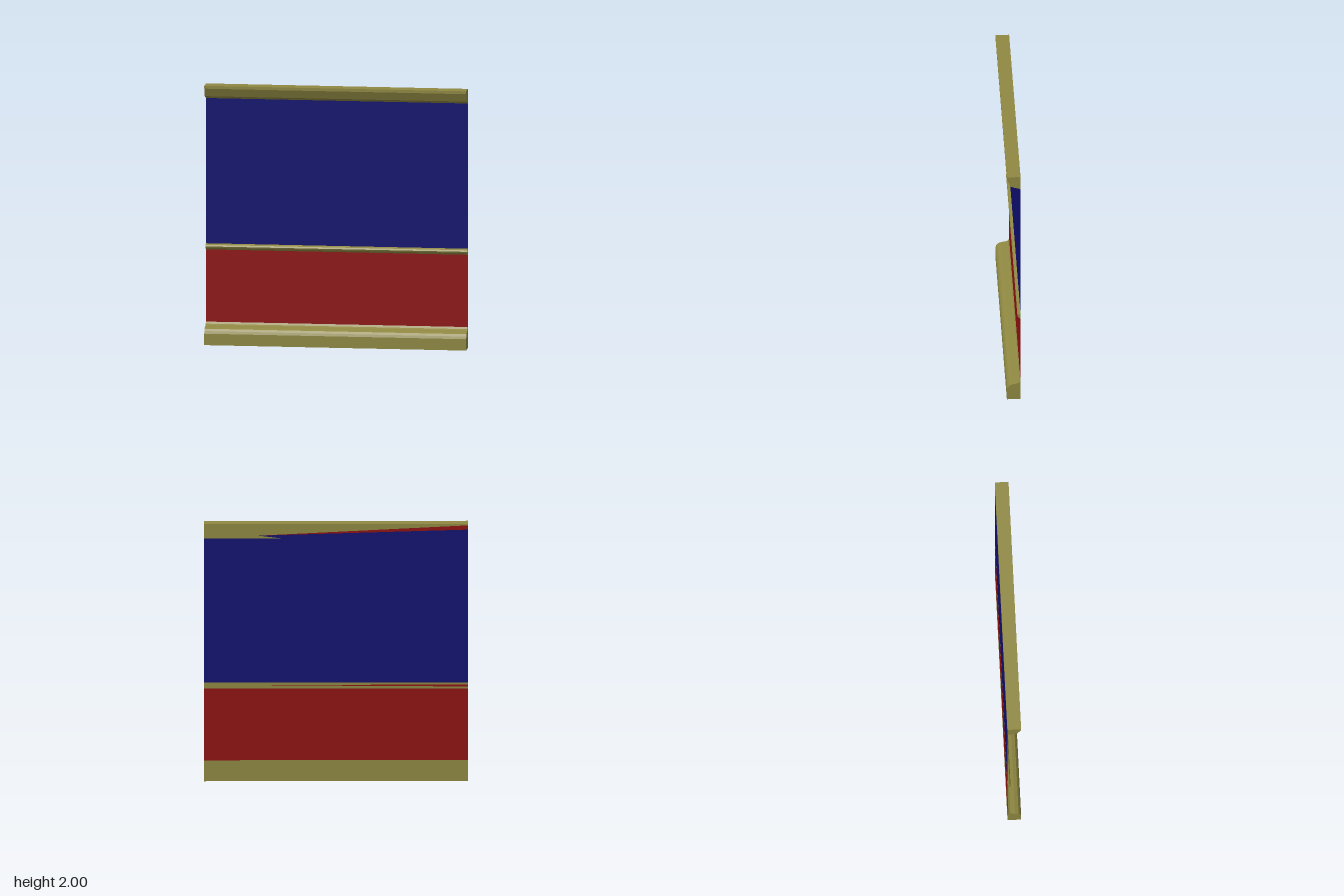
import * as THREE from 'three';

const BACK = -0.052;

export function createModel() {
  const group = new THREE.Group();
  const wood = new THREE.MeshStandardMaterial({ color: 0x8f8842 });
  wood.name = 'olive wood';
  const blue = new THREE.MeshStandardMaterial({ color: 0x0e0e70, side: THREE.DoubleSide });
  blue.name = 'navy paint';
  const red = new THREE.MeshStandardMaterial({ color: 0x8f1010, side: THREE.DoubleSide });
  red.name = 'dark red paint';

  function add(name, geometry, material) {
    const mesh = new THREE.Mesh(geometry, material);
    mesh.name = name;
    group.add(mesh);
    return mesh;
  }

  const shapeOf = (points) => new THREE.Shape(points.map(([a, b]) => new THREE.Vector2(a, b)));

  // Trim profiles are [z, y], swept along the full width of the wall
  function trim(name, profile) {
    const geometry = new THREE.ExtrudeGeometry(shapeOf(profile.map(([z, y]) => [-z, y])), {
      depth: 2, bevelEnabled: false,
    });
    geometry.rotateY(Math.PI / 2).translate(-1, 0, 0);
    add(name, geometry, wood);
  }

  // Flat wall surfaces, given as [x, y] outlines
  function sheet(name, points, material, z = BACK) {
    add(name, new THREE.ShapeGeometry(shapeOf(points)).translate(0, 0, z), material);
  }
  const band = (low, high) => [[-1, low], [1, low], [1, high], [-1, high]];

  trim('baseboard', [
    [BACK, 0], [0.052, 0], [0.052, 0.088], [0.045, 0.107], [0.033, 0.123],
    [0.005, 0.134], [-0.03, 0.14], [-0.044, 0.148], [BACK, 0.163],
  ]);
  trim('chairRail', [
    [BACK, 0.72], [-0.045, 0.729], [-0.034, 0.735], [-0.028, 0.747],
    [-0.034, 0.758], [BACK, 0.767],
  ]);
  trim('crownMoulding', [
    [BACK, 1.887], [-0.045, 1.894], [-0.01, 1.903], [0.022, 1.915],
    [0.052, 1.978], [0.052, 2], [BACK, 2],
  ]);

  sheet('lowerPanel', band(0.163, 0.72), red);
  sheet('upperPanel', band(0.767, 1.887), blue);

  // Slivers of wall paint showing on the back of the trims
  sheet('crownBackRed', [[0.59, 1.91], [-1, 1.955], [-1, 1.988]], red, BACK - 0.001);
  sheet('crownBackBlue', [[0.59, 1.91], [0.4, 1.887], [-1, 1.887], [-1, 1.955]], blue, BACK - 0.001);
  sheet('railBackRed', [[0.57, 0.746], [-1, 0.735], [-1, 0.752]], red, BACK - 0.001);

  return group;
}
